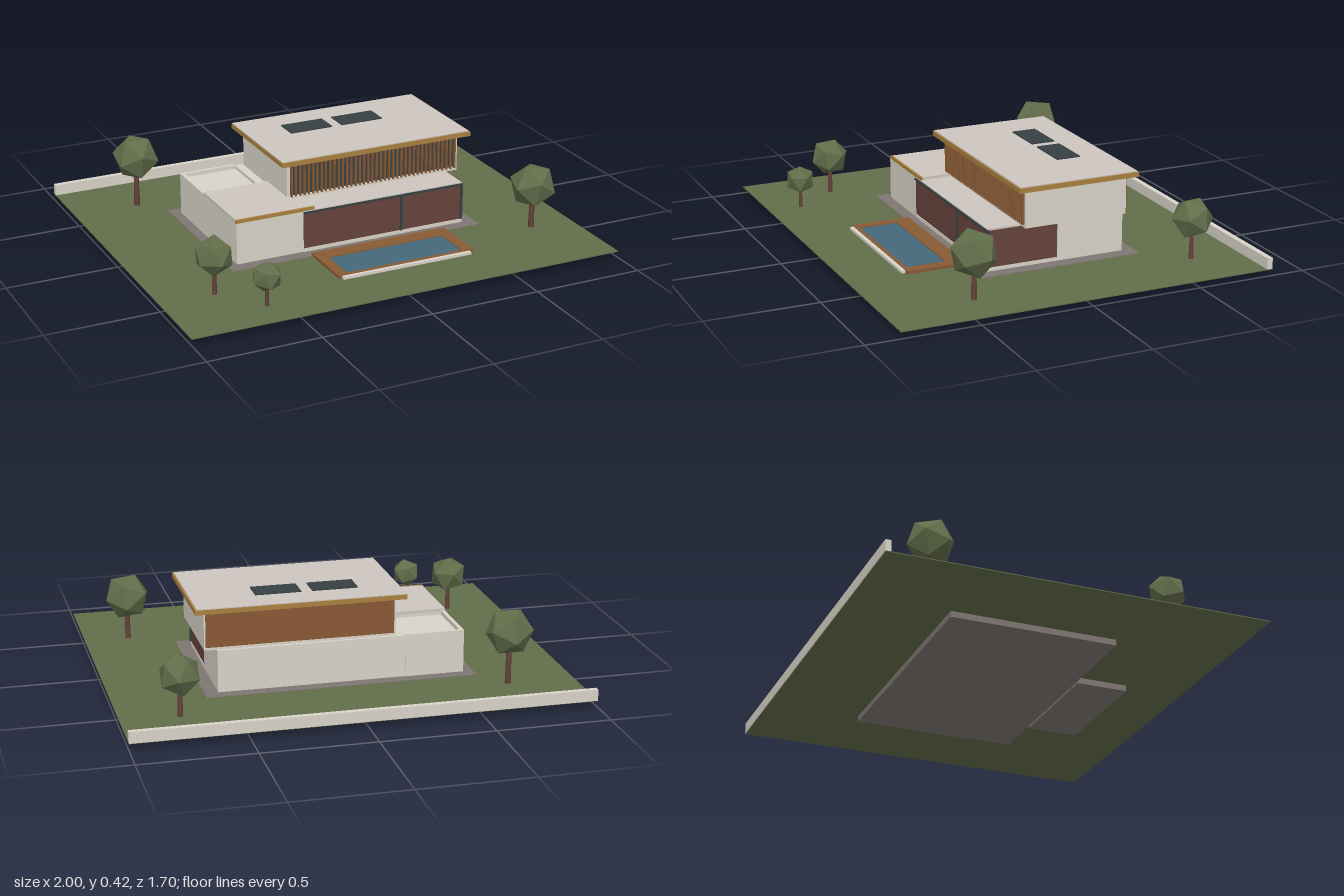
import * as THREE from 'three';

const paint = (name, color) => {
  const m = new THREE.MeshStandardMaterial({ color });
  m.name = name;
  return m;
};

export function createModel() {
  const model = new THREE.Group();
  model.name = 'houseWithGarden';

  const green = paint('green', 0x626d4a);
  const wall = paint('plaster', 0xd8d3c8);
  const roofing = paint('roofing', 0xcdc5be);
  const concrete = paint('concrete', 0x7e7672);
  const timber = paint('timber', 0x885a35);
  const fascia = paint('goldenTimber', 0xa8803f);
  const glass = paint('darkGlass', 0x364042);
  const redBrown = paint('redBrown', 0x65433b);
  const water = paint('water', 0x44687a);

  // Box given by its limits on each axis
  const box = (parent, name, mat, [x0, x1], [y0, y1], [z0, z1]) => {
    const mesh = new THREE.Mesh(new THREE.BoxGeometry(x1 - x0, y1 - y0, z1 - z0), mat);
    mesh.position.set((x0 + x1) / 2, (y0 + y1) / 2, (z0 + z1) / 2);
    mesh.name = name;
    parent.add(mesh);
    return mesh;
  };
  const section = (name) => {
    const g = new THREE.Group();
    g.name = name;
    model.add(g);
    return g;
  };

  // Plot
  const plot = section('plot');
  box(plot, 'lawn', green, [-1, 1], [0.027, 0.031], [-0.847, 0.847]);
  box(plot, 'boundaryWall', wall, [-1, 1], [0.03, 0.08], [-0.85, -0.825]);
  box(plot, 'foundation', concrete, [-0.6, 0.6], [0, 0.034], [-0.425, 0.325]);

  // Pool: tank below the lawn, timber deck around the water
  const pool = section('pool');
  box(pool, 'poolTank', concrete, [-0.18, 0.375], [0, 0.028], [0.335, 0.57]);
  const px = [-0.225, 0.425], py = [0.031, 0.045];
  box(pool, 'deckBack', timber, px, py, [0.315, 0.39]);
  box(pool, 'deckFront', timber, px, py, [0.567, 0.585]);
  box(pool, 'deckLeft', timber, [0.375, 0.425], py, [0.39, 0.567]);
  box(pool, 'deckRight', timber, [-0.225, -0.18], py, [0.39, 0.567]);
  box(pool, 'waterSurface', water, [-0.18, 0.375], [0.034, 0.041], [0.39, 0.567]);
  box(pool, 'poolLedge', wall, [-0.21, 0.405], [0.031, 0.043], [0.585, 0.603]);

  // Ground floor
  const ground = section('groundFloor');
  box(ground, 'backRooms', wall, [-0.29, 0.54], [0.034, 0.222], [-0.372, -0.06]);
  box(ground, 'sideWing', wall, [-0.555, -0.24], [0.034, 0.222], [-0.095, 0.268]);
  box(ground, 'rearWing', wall, [-0.555, -0.29], [0.034, 0.208], [-0.375, -0.095]);
  box(ground, 'parapetSide', wall, [-0.555, -0.537], [0.208, 0.226], [-0.375, -0.095]);
  box(ground, 'parapetBack', wall, [-0.537, -0.29], [0.208, 0.226], [-0.375, -0.36]);
  box(ground, 'livingBase', wall, [-0.24, 0.54], [0.034, 0.05], [-0.06, 0.272]);
  box(ground, 'livingRoom', redBrown, [-0.24, 0.538], [0.05, 0.213], [-0.06, 0.269]);
  box(ground, 'livingRoof', roofing, [-0.24, 0.54], [0.216, 0.224], [-0.06, 0.268]);
  box(ground, 'windowHead', glass, [-0.24, 0.543], [0.212, 0.22], [0.262, 0.275]);
  for (const x of [0.235, 0.537]) {
    box(ground, 'windowPost', glass, [x - 0.006, x + 0.006], [0.05, 0.213], [0.26, 0.274]);
  }

  // Raised roof over the side wing, timber edge at the front
  box(ground, 'wingRoof', roofing, [-0.555, -0.19], [0.222, 0.236], [-0.095, 0.257]);
  box(ground, 'wingRoofEdge', fascia, [-0.557, -0.187], [0.222, 0.237], [0.257, 0.267]);

  // Upper floor
  const upper = section('upperFloor');
  box(upper, 'upperRooms', wall, [-0.235, 0.585], [0.222, 0.395], [-0.358, 0.1]);
  box(upper, 'frontSill', wall, [-0.25, 0.595], [0.222, 0.236], [0.1, 0.118]);
  for (const [x0, x1] of [[-0.25, -0.235], [0.585, 0.595]]) {
    box(upper, 'endWall', wall, [x0, x1], [0.222, 0.395], [-0.358, 0.118]);
  }
  box(upper, 'frontGlazing', glass, [-0.235, 0.585], [0.236, 0.394], [0.1, 0.107]);
  box(upper, 'backCladding', timber, [-0.24, 0.588], [0.236, 0.394], [-0.366, -0.358]);

  // Vertical screen slats
  const slats = 40;
  for (let i = 0; i < slats; i++) {
    const x = -0.23 + (0.81 * i) / (slats - 1);
    box(upper, 'screenSlat', timber, [x - 0.0035, x + 0.0035], [0.236, 0.395], [0.117, 0.129]);
  }

  // Main roof with two skylights
  const roof = section('mainRoof');
  box(roof, 'roofEdge', fascia, [-0.29, 0.637], [0.394, 0.415], [-0.395, 0.163]);
  box(roof, 'roofTop', roofing, [-0.288, 0.63], [0.414, 0.419], [-0.393, 0.157]);
  for (const x of [-0.105, 0.147]) {
    box(roof, 'skylight', glass, [x, x + 0.203], [0.418, 0.424], [-0.26, -0.15]);
  }

  // Trees: x, z, crown centre height, crown radius
  const trees = [
    [-0.7, -0.555, 0.267, 0.107], [0.745, -0.6, 0.215, 0.094], [0.8, 0.445, 0.23, 0.106],
    [-0.755, 0.495, 0.205, 0.088], [-0.605, 0.695, 0.163, 0.068],
  ];
  trees.forEach(([x, z, y, r], i) => {
    const tree = section('tree');
    tree.position.set(x, 0, z);
    const crown = new THREE.Mesh(new THREE.IcosahedronGeometry(r, 0), green);
    crown.name = 'crown';
    crown.position.y = y;
    crown.rotation.set(0.3 + i * 0.5, i * 1.3, 0.2 * i);
    const h = y - 0.03;
    const trunk = new THREE.Mesh(new THREE.CylinderGeometry(r * 0.09, r * 0.13, h, 6), redBrown);
    trunk.name = 'trunk';
    trunk.position.y = 0.03 + h / 2;
    tree.add(crown, trunk);
  });
  return model;
}
